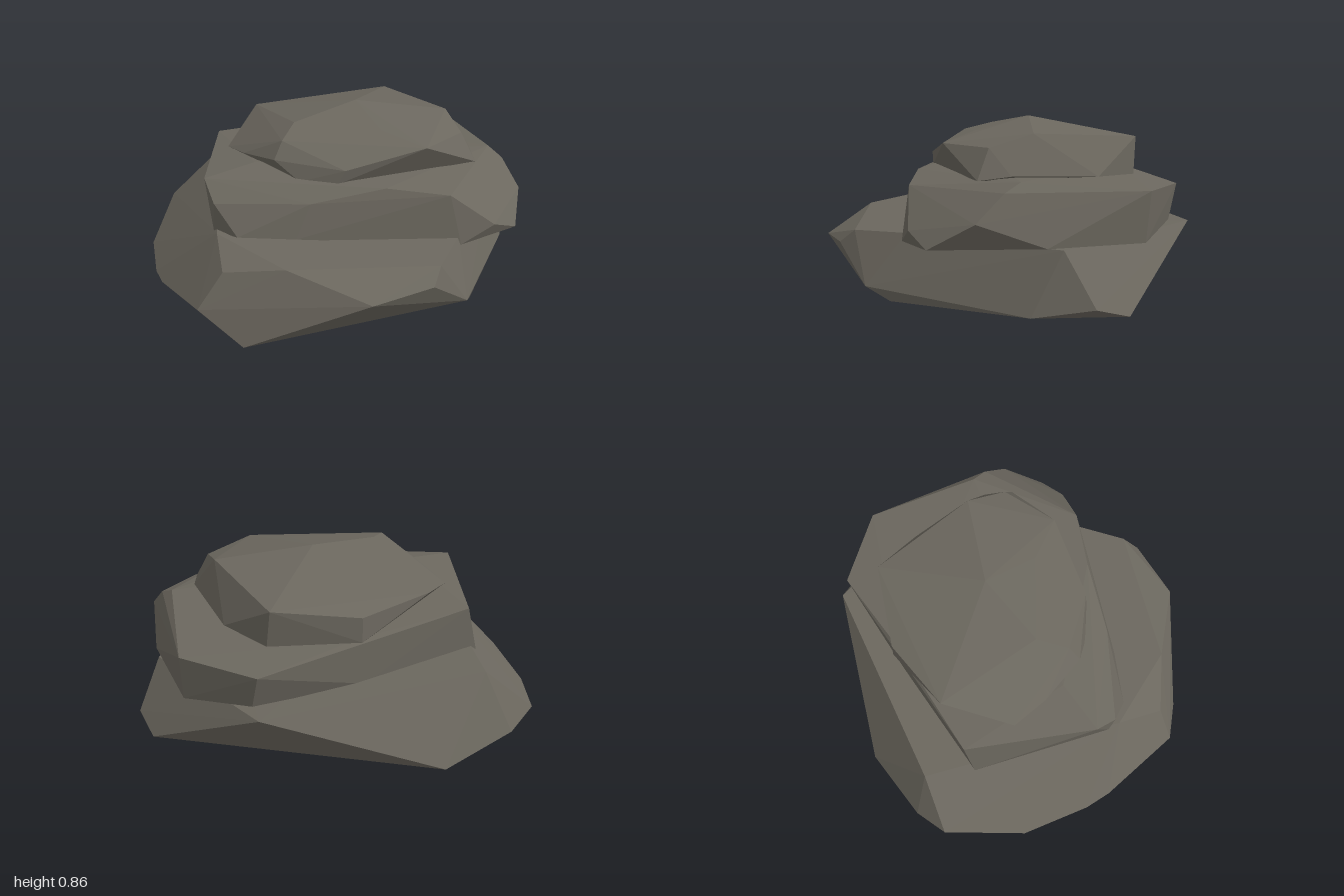
import * as THREE from 'three';
import { ConvexGeometry } from 'three/addons/geometries/ConvexGeometry.js';

const stone = new THREE.MeshStandardMaterial({ color: 0x6b675e, flatShading: true });
stone.name = 'grey stone';

// A faceted boulder spanned by its corner points
function boulder(name, corners) {
  const mesh = new THREE.Mesh(new ConvexGeometry(corners.map(c => new THREE.Vector3(...c))), stone);
  mesh.name = name;
  return mesh;
}

export function createModel() {
  const group = new THREE.Group();
  group.name = 'stackedRocks';

  // Broad base slab: lower rim, then upper rim
  group.add(boulder('baseRock', [
    [-0.45, 0, 0.81], [-0.66, 0.145, 0.71], [-0.88, 0.07, 0.33], [-0.93, 0.06, 0.2],
    [-1, 0.04, -0.15], [-0.97, 0.025, -0.2], [-0.93, 0.15, -0.56], [-0.8, 0.1, -0.69],
    [-0.45, 0.045, -0.88], [0.92, 0.05, -0.55], [1, 0.1, -0.4], [0.95, 0.05, -0.13],
    [0.65, 0.04, 0.5], [0.61, 0.1, 0.62],
    [0.13, 0.255, 0.89], [0.42, 0.27, 0.77], [0.46, 0.335, 0.69], [0.23, 0.34, 0.7],
    [-0.25, 0.355, 0.73], [-0.54, 0.31, 0.66], [-0.58, 0.385, 0.42], [-0.67, 0.39, -0.6],
    [0.39, 0.37, -0.9], [0.9, 0.33, -0.27], [0.59, 0.345, 0.43],
  ]));

  // Middle slab: underside, girdle, top
  group.add(boulder('middleRock', [
    [0.6, 0.31, 0.45], [0.9, 0.33, 0.31], [0.92, 0.34, -0.2], [0.74, 0.33, -0.64],
    [0.42, 0.38, -0.8], [-0.1, 0.36, -0.62], [-0.68, 0.36, -0.35], [-0.6, 0.37, 0.36],
    [-0.48, 0.385, 0.465], [-0.2, 0.375, 0.48],
    [0.96, 0.45, 0.1], [0.77, 0.39, 0.4], [0.54, 0.56, 0.42], [0.23, 0.6, 0.41],
    [-0.13, 0.54, 0.44], [-0.59, 0.525, 0.38], [0.39, 0.55, -0.84], [0.74, 0.56, -0.66],
    [-0.64, 0.61, 0.27], [-0.62, 0.61, -0.38], [-0.4, 0.64, 0.15], [-0.05, 0.6, -0.62],
    [0.83, 0.61, -0.09], [0.89, 0.57, -0.02],
  ]));

  // Cap stone: underside rim, then domed top
  group.add(boulder('topRock', [
    [-0.18, 0.6, 0.31], [0, 0.6, 0.355], [0.72, 0.6, 0.1], [0.72, 0.62, -0.05],
    [0.55, 0.6, -0.45], [0.35, 0.59, -0.64], [-0.08, 0.6, -0.65], [-0.55, 0.62, -0.12],
    [-0.46, 0.65, 0.05], [-0.3, 0.69, 0.25], [0.04, 0.67, 0.355], [0.44, 0.745, 0.27],
    [0.65, 0.74, 0.05], [0.6, 0.8, -0.15], [0.33, 0.77, -0.65], [-0.08, 0.72, -0.64],
    [-0.41, 0.74, -0.45], [-0.2, 0.81, 0.05], [0.23, 0.79, 0.13], [-0.26, 0.77, 0.2],
    [0.12, 0.86, -0.14],
  ]));

  return group;
}
